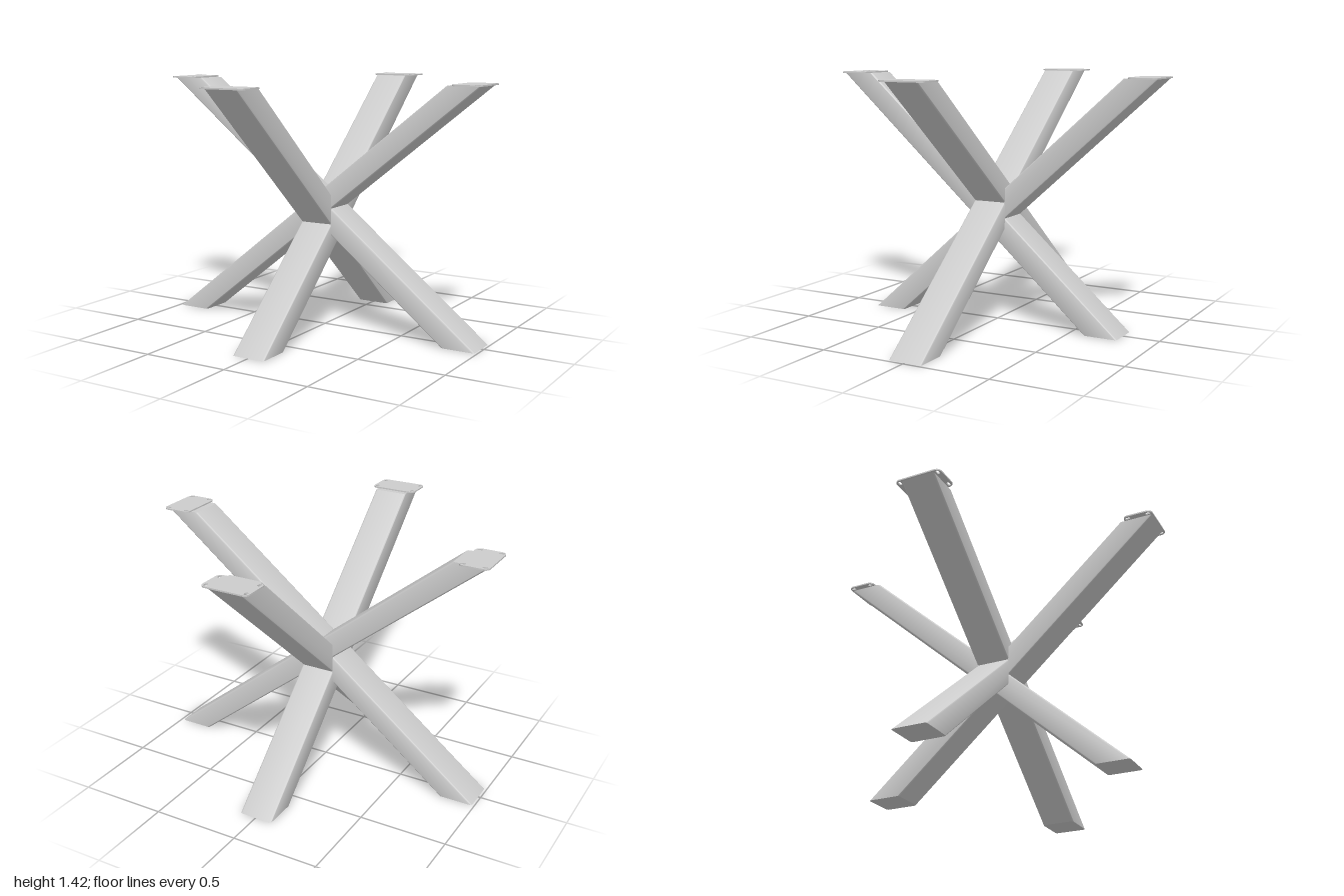
import * as THREE from 'three';
import { toCreasedNormals } from 'three/addons/utils/BufferGeometryUtils.js';

const BAR_TOP = 1.416, PLATE = 0.008;

// Rounded rectangle centred on the origin; also used for slots
function roundedRect(target, cx, cy, w, h, r) {
  const x = w / 2 - r, y = h / 2 - r;
  target.absarc(cx + x, cy + y, r, 0, Math.PI / 2);
  target.absarc(cx - x, cy + y, r, Math.PI / 2, Math.PI);
  target.absarc(cx - x, cy - y, r, Math.PI, Math.PI * 1.5);
  target.absarc(cx + x, cy - y, r, Math.PI * 1.5, Math.PI * 2);
  target.closePath();
  return target;
}

// Extrude a plan shape upwards
function raise(shape, height) {
  const g = new THREE.ExtrudeGeometry(shape, { depth: height, bevelEnabled: false, curveSegments: 6 });
  return g.rotateX(-Math.PI / 2);
}

// Square bar cut level at both ends: its plan section slides in x with height
function slantedBar(topX, bottomX) {
  const g = raise(roundedRect(new THREE.Shape(), 0, 0, 0.197, 0.197, 0.014), BAR_TOP);
  const p = g.attributes.position;
  for (let i = 0; i < p.count; i++) {
    p.setX(i, p.getX(i) + THREE.MathUtils.lerp(bottomX, topX, p.getY(i) / BAR_TOP));
  }
  return toCreasedNormals(g, 0.6);
}

// Thin mounting plate with a slot near each corner
function mountingPlate() {
  const shape = roundedRect(new THREE.Shape(), 0, 0, 0.168, 0.272, 0.03);
  for (const sx of [-1, 1]) for (const sy of [-1, 1]) {
    shape.holes.push(roundedRect(new THREE.Path(), sx * 0.06, sy * 0.115, 0.03, 0.016, 0.0079));
  }
  return toCreasedNormals(raise(shape, PLATE), 0.6);
}

export function createModel() {
  const model = new THREE.Group();
  model.name = 'crossedTableBase';
  const material = new THREE.MeshStandardMaterial({ color: 0xcccccc });
  const sideBar = slantedBar(0.892, -0.887);
  const frontBackBar = slantedBar(0.898, -0.69);
  const plateGeometry = mountingPlate();

  // Four bars, a quarter turn apart, crossing at the middle
  ['left', 'back', 'right', 'front'].forEach((name, i) => {
    const leg = new THREE.Group();
    leg.name = name + 'Leg';
    const bar = new THREE.Mesh(i % 2 ? frontBackBar : sideBar, material);
    bar.name = name + 'Bar';
    const plate = new THREE.Mesh(plateGeometry, material);
    plate.name = name + 'MountingPlate';
    plate.position.set(0.916, BAR_TOP, 0);
    leg.add(bar, plate);
    leg.rotation.y = i * Math.PI / 2;
    model.add(leg);
  });
  return model;
}
